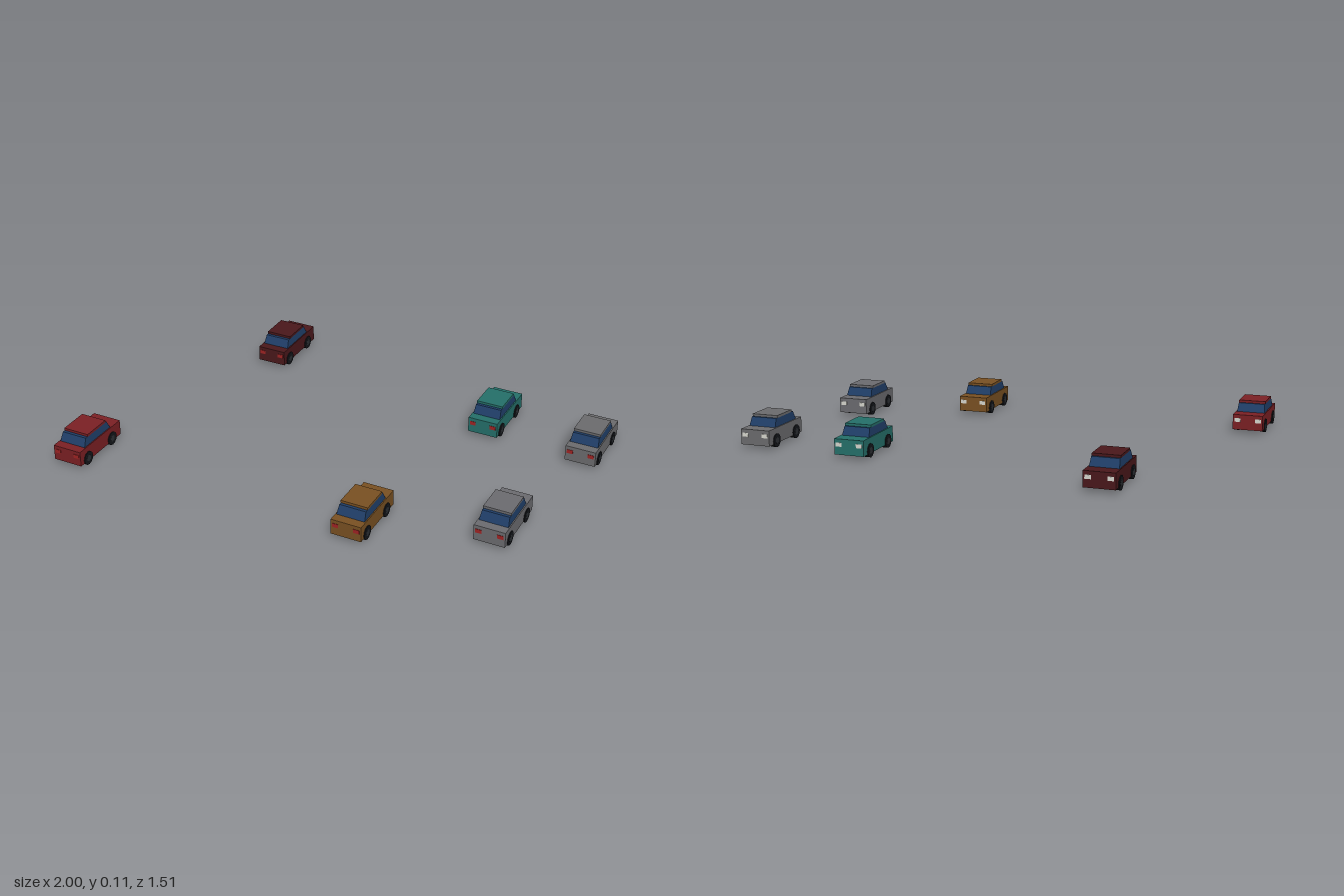
import * as THREE from 'three';

const mat = (color) => new THREE.MeshStandardMaterial({ color, flatShading: true });

const glass = mat(0x1f3d66);
const tyre = mat(0x14161a);
const hubMat = mat(0x2c2f33);
const headMat = mat(0xd8d8d0);
const tailMat = mat(0xa02424);

function add(parent, name, geometry, material, x, y, z) {
  const mesh = new THREE.Mesh(geometry, material);
  mesh.name = name;
  mesh.position.set(x, y, z);
  parent.add(mesh);
  return mesh;
}

// Box whose top face is narrowed to a given width and length
function taperedBox(w, h, l, topW, topL) {
  const g = new THREE.BoxGeometry(w, h, l);
  const p = g.attributes.position;
  for (let i = 0; i < p.count; i++) {
    if (p.getY(i) > 0) {
      p.setX(i, p.getX(i) * topW / w);
      p.setZ(i, p.getZ(i) * topL / l);
    }
  }
  g.computeVertexNormals();
  return g;
}

const bodyGeo = new THREE.BoxGeometry(0.11, 0.056, 0.244);
const cabinGeo = taperedBox(0.102, 0.03, 0.156, 0.096, 0.126);
const roofGeo = new THREE.BoxGeometry(0.098, 0.009, 0.108);
const wheelGeo = new THREE.CylinderGeometry(0.025, 0.025, 0.018, 12).rotateZ(Math.PI / 2);
const hubGeo = new THREE.CylinderGeometry(0.012, 0.012, 0.019, 8).rotateZ(Math.PI / 2);
const lightGeo = new THREE.BoxGeometry(0.022, 0.014, 0.004);

// One car, nose towards -z
function makeCar(color) {
  const car = new THREE.Group();
  const paint = mat(color);
  add(car, 'body', bodyGeo, paint, 0, 0.042, 0);
  add(car, 'cabinGlass', cabinGeo, glass, 0, 0.085, 0.01);
  add(car, 'roof', roofGeo, paint, 0, 0.1045, 0.008);
  for (const side of [-1, 1]) {
    for (const [end, z] of [['front', -0.068], ['rear', 0.078]]) {
      add(car, end + 'Wheel', wheelGeo, tyre, side * 0.049, 0.025, z);
      add(car, end + 'Hub', hubGeo, hubMat, side * 0.049, 0.025, z);
    }
    add(car, 'headlight', lightGeo, headMat, side * 0.038, 0.05, -0.1215);
    add(car, 'tailLight', lightGeo, tailMat, side * 0.038, 0.05, 0.1215);
  }
  return car;
}

export function createModel() {
  const model = new THREE.Group();
  model.name = 'parkedCars';
  // Name, paint colour, x and z of each car
  const cars = [
    ['redCar', 0x7c2024, -0.89, 0.06],
    ['maroonCar', 0x4a181b, -0.17, -0.626],
    ['tealCar', 0x25706a, 0.575, -0.053],
    ['greyCar', 0x6c6c6e, 0.888, 0.155],
    ['orangeCar', 0x7a5122, 0.05, 0.56],
    ['silverCar', 0x6c6c70, 0.508, 0.615],
  ];
  for (const [name, color, x, z] of cars) {
    const car = makeCar(color);
    car.name = name;
    car.position.set(x, 0, z);
    car.rotation.y = -Math.PI / 6;
    model.add(car);
  }
  return model;
}
